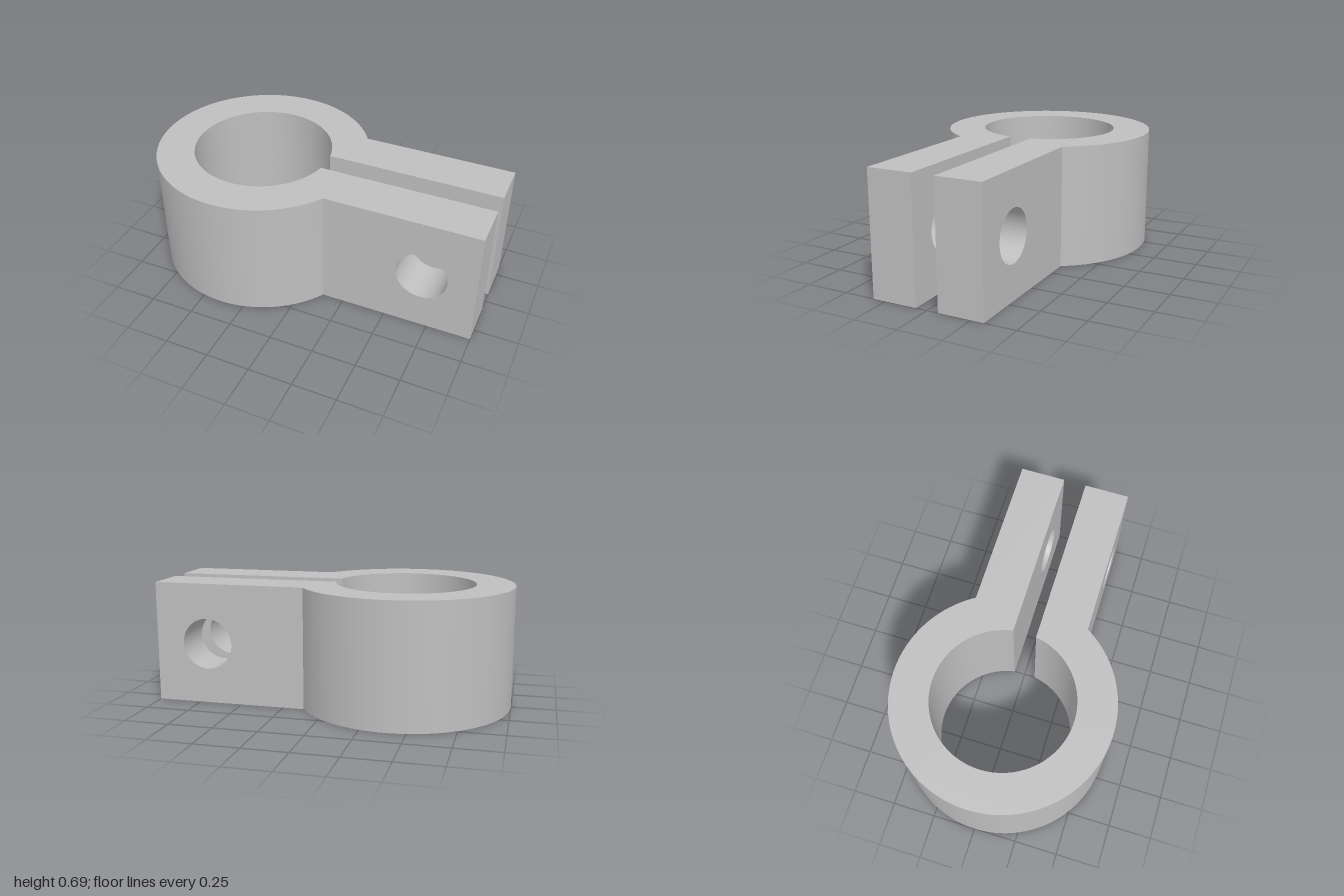
import * as THREE from 'three';
import { toCreasedNormals } from 'three/addons/utils/BufferGeometryUtils.js';

const HEIGHT = 0.69;
const CENTRE_X = -0.39;
const OUTER = 0.61, INNER = 0.395;
const SLOT = 0.065;      // half width of the gap
const EAR = 0.323;       // outer face of each ear
const BOLT = { x: 0.695, y: HEIGHT / 2, r: 0.145 };

function extrude(shape, depth) {
  return new THREE.ExtrudeGeometry(shape, { depth, bevelEnabled: false, curveSegments: 80 });
}

export function createModel() {
  const group = new THREE.Group();
  group.name = 'splitClamp';
  const steel = new THREE.MeshStandardMaterial({ color: 0xbfbfbf });
  steel.name = 'grey steel';

  const add = (name, geometry) => {
    const mesh = new THREE.Mesh(toCreasedNormals(geometry, 0.5), steel);
    mesh.name = name;
    group.add(mesh);
  };

  // Split ring, open towards +x, with short lips that meet the ears
  const a = Math.asin(EAR / OUTER), b = Math.asin(SLOT / INNER);
  const earStart = CENTRE_X + OUTER * Math.cos(a);
  const plan = new THREE.Shape();
  plan.absarc(CENTRE_X, 0, OUTER, a, 2 * Math.PI - a, false);
  plan.lineTo(earStart, -SLOT);
  plan.absarc(CENTRE_X, 0, INNER, 2 * Math.PI - b, b, true);
  plan.lineTo(earStart, SLOT);
  plan.closePath();
  add('splitRing', extrude(plan, HEIGHT).rotateX(-Math.PI / 2));

  // Two parallel ears with a bolt hole
  const plate = new THREE.Shape();
  plate.moveTo(earStart, 0);
  plate.lineTo(1, 0);
  plate.lineTo(1, HEIGHT);
  plate.lineTo(earStart, HEIGHT);
  plate.closePath();
  const hole = new THREE.Path();
  hole.absarc(BOLT.x, BOLT.y, BOLT.r, 0, 2 * Math.PI, true);
  plate.holes.push(hole);
  add('frontEar', extrude(plate, EAR - SLOT).translate(0, 0, SLOT));
  add('backEar', extrude(plate, EAR - SLOT).translate(0, 0, -EAR));

  return group;
}
